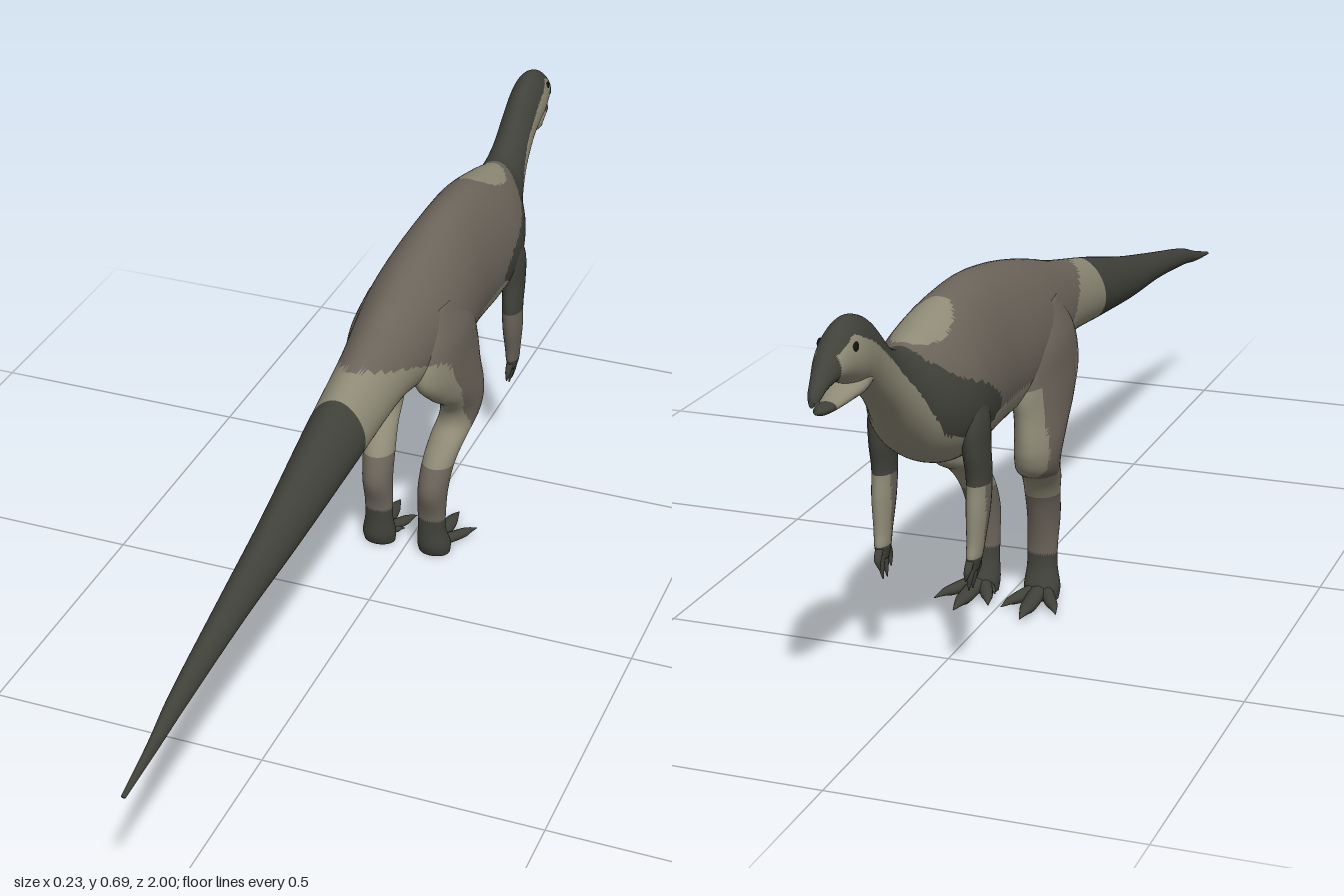
import * as THREE from 'three';

const mat = (name, color) => {
  const m = new THREE.MeshStandardMaterial({ color });
  m.name = name;
  return m;
};

// Piecewise linear lookup through [z, value] pairs with falling z
function along(pairs, z) {
  if (z >= pairs[0][0]) return pairs[0][1];
  for (let i = 1; i < pairs.length; i++) {
    const [z0, a] = pairs[i - 1], [z1, b] = pairs[i];
    if (z >= z1) return a + (b - a) * (z0 - z) / (z0 - z1);
  }
  return pairs[pairs.length - 1][1];
}

// Smooth the list of cross-sections with a Catmull-Rom rule
function refine(rings, steps) {
  const out = [], n = rings.length;
  const at = i => rings[Math.min(n - 1, Math.max(0, i))];
  for (let i = 0; i < n - 1; i++) {
    for (let s = 0; s < steps; s++) {
      const t = s / steps;
      out.push(at(i).map((b, k) => {
        const a = at(i - 1)[k], c = at(i + 1)[k], d = at(i + 2)[k];
        return 0.5 * (2 * b + (c - a) * t + (2 * a - 5 * b + 4 * c - d) * t * t
          + (3 * b - a - 3 * c + d) * t * t * t);
      }));
    }
  }
  out.push(rings[n - 1]);
  return out;
}

// Skin rings [cx, cy, cz, rx, r2], listed with falling z (axis 'z') or falling y (axis 'y').
// paint(x, y, z) picks the material index of each face.
function loft(name, rings, axis, materials, paint, { sides = 24, steps = 5, taper = 0 } = {}) {
  const rs = refine(rings, steps), pos = [], faces = materials.map(() => []);
  for (const [cx, cy, cz, rx, r2] of rs) {
    for (let j = 0; j < sides; j++) {
      const a = j / sides * Math.PI * 2, c = Math.cos(a), s = Math.sin(a);
      const x = cx + rx * c * (1 - taper * s);
      if (axis === 'z') pos.push(x, cy + r2 * s, cz);
      else pos.push(x, cy, cz - r2 * s);
    }
  }
  const first = pos.length / 3, last = rs.length - 1;
  pos.push(...rs[0].slice(0, 3), ...rs[last].slice(0, 3));
  const tri = (...v) => {
    const mid = k => (pos[v[0] * 3 + k] + pos[v[1] * 3 + k] + pos[v[2] * 3 + k]) / 3;
    faces[paint(mid(0), mid(1), mid(2))].push(...v);
  };
  for (let j = 0; j < sides; j++) {
    const k = (j + 1) % sides;
    tri(first, j, k);
    for (let i = 0; i < last; i++) {
      const p = i * sides, q = p + sides;
      tri(p + j, q + j, p + k);
      tri(q + j, q + k, p + k);
    }
    tri(first + 1, last * sides + k, last * sides + j);
  }
  const g = new THREE.BufferGeometry();
  g.setAttribute('position', new THREE.Float32BufferAttribute(pos, 3));
  g.setIndex(faces.flat());
  let start = 0;
  faces.forEach((f, i) => { g.addGroup(start, f.length, i); start += f.length; });
  g.computeVertexNormals();
  const mesh = new THREE.Mesh(g, materials);
  mesh.name = name;
  return mesh;
}

// Profile row [z, top, bottom, halfWidth] to a ring
const slice = ([z, top, bottom, w]) => [0, (top + bottom) / 2, z, w, (top - bottom) / 2];

const DARK = 0, BROWN = 1, LIGHT = 2;

// Colour boundaries of the shoulder and neck patch
const patchTop = [[-0.47, 0.44], [-0.49, 0.465], [-0.53, 0.495], [-0.62, 0.53], [-0.67, 0.57], [-0.69, 0.63], [-0.7, 0.9]];
const patchBottom = [[-0.47, 0.45], [-0.55, 0.405], [-0.65, 0.445], [-0.72, 0.54], [-0.78, 0.6], [-0.84, 0.645], [-0.9, 0.674], [-0.94, 0.655]];
const rumpEdge = y => y > 0.45 ? 0.07 - (0.53 - y) * 2.6 : -0.138 - (0.45 - y) * 0.6;

function paintBody(x, y, z) {
  if (z > 0.16) return DARK;
  if (z > rumpEdge(y)) return LIGHT;
  if (z < -0.945) return DARK;
  if (z < -0.47 && y < along(patchTop, z) && y > along(patchBottom, z)) return DARK;
  if (z < -0.58 && y <= along(patchBottom, z)) return LIGHT;
  if (((z + 0.59) / 0.075) ** 2 + (x / 0.042) ** 2 < 1 && y > 0.55) return LIGHT;
  if (z < -0.3 && z > -0.53 && y < 0.435) return LIGHT;
  return BROWN;
}

function paintLeg(x, y, z) {
  if (y < 0.085) return DARK;
  if (y < 0.2) return BROWN;
  if (y < 0.255 || z > rumpEdge(y) || Math.abs(x) < 0.06) return LIGHT;
  return y < 0.42 && z < -0.31 ? LIGHT : BROWN;
}

export function createModel() {
  const model = new THREE.Group();
  const skin = [mat('darkOlive', 0x40423a), mat('greyBrown', 0x6c655b), mat('paleKhaki', 0x8f8b77)];
  const eyeMat = mat('eyeBlack', 0x16150f);

  // Tail, trunk, neck and upper head in one skin
  const profile = [
    [1, 0.313, 0.307, 0.004], [0.9, 0.34, 0.318, 0.009], [0.8, 0.37, 0.335, 0.016],
    [0.6, 0.412, 0.358, 0.026], [0.4, 0.455, 0.37, 0.037], [0.2, 0.505, 0.39, 0.05],
    [0, 0.55, 0.41, 0.062], [-0.1, 0.578, 0.4, 0.075], [-0.2, 0.603, 0.385, 0.088],
    [-0.3, 0.622, 0.37, 0.09], [-0.4, 0.633, 0.362, 0.086], [-0.5, 0.627, 0.36, 0.09],
    [-0.57, 0.613, 0.368, 0.091], [-0.63, 0.6, 0.395, 0.078], [-0.69, 0.59, 0.445, 0.052],
    [-0.75, 0.615, 0.505, 0.038], [-0.81, 0.668, 0.553, 0.034], [-0.85, 0.688, 0.578, 0.035],
    [-0.88, 0.693, 0.59, 0.035], [-0.91, 0.685, 0.603, 0.031], [-0.94, 0.667, 0.612, 0.024],
    [-0.97, 0.641, 0.607, 0.015], [-0.99, 0.62, 0.596, 0.01], [-1, 0.607, 0.592, 0.004],
  ];
  model.add(loft('body', profile.map(slice), 'z', skin, paintBody, { sides: 72, steps: 9, taper: 0.16 }));

  // Open lower jaw
  const jaw = [
    [-0.84, 0.62, 0.575, 0.028], [-0.87, 0.608, 0.572, 0.03], [-0.9, 0.597, 0.571, 0.024],
    [-0.94, 0.587, 0.57, 0.016], [-0.97, 0.586, 0.572, 0.011], [-0.985, 0.584, 0.577, 0.004],
  ];
  model.add(loft('lowerJaw', jaw.map(slice), 'z', skin, (x, y, z) => z < -0.945 ? DARK : LIGHT));

  for (const side of [1, -1]) {
    const label = side > 0 ? 'right' : 'left'; // facing -z, +x is the right-hand side
    const mirror = r => [r[0] * side, ...r.slice(1)];
    const dark = () => DARK;

    // Eye
    const eye = new THREE.Mesh(new THREE.SphereGeometry(0.008, 16, 12), eyeMat);
    eye.name = label + 'Eye';
    eye.position.set(0.028 * side, 0.657, -0.905);
    eye.scale.x = 0.4;
    model.add(eye);

    // Hind leg from hip to sole
    const leg = [
      [0.055, 0.54, -0.2, 0.02, 0.05], [0.059, 0.48, -0.21, 0.041, 0.115],
      [0.066, 0.42, -0.215, 0.041, 0.13], [0.073, 0.37, -0.237, 0.039, 0.104],
      [0.077, 0.33, -0.265, 0.038, 0.077], [0.077, 0.3, -0.277, 0.037, 0.062],
      [0.074, 0.27, -0.27, 0.035, 0.052], [0.067, 0.24, -0.233, 0.033, 0.037],
      [0.059, 0.2, -0.205, 0.03, 0.035], [0.055, 0.15, -0.187, 0.028, 0.034],
      [0.053, 0.1, -0.188, 0.027, 0.022], [0.053, 0.06, -0.19, 0.027, 0.021],
      [0.055, 0.025, -0.197, 0.032, 0.028], [0.055, 0.004, -0.2, 0.03, 0.024],
    ];
    model.add(loft(label + 'HindLeg', leg.map(mirror), 'y', skin, paintLeg, { sides: 40, steps: 7 }));

    // Splayed toes ending in claws: [tip x, tip z, thickness]
    [[0.06, -0.325, 0.015], [0.11, -0.285, 0.013], [0.012, -0.285, 0.013], [0.018, -0.235, 0.009]].forEach(([tx, tz, r], i) => {
      const toe = [[0, 0.022, r], [0.35, 0.019, r], [0.65, 0.016, r * 0.9], [0.8, 0.016, r * 0.6], [1, 0.012, 0.001]]
        .map(([t, y, w]) => [0.055 + (tx - 0.055) * t, y, -0.19 + (tz + 0.19) * t, w, w * 0.8]);
      model.add(loft(`${label}Toe${i + 1}`, toe.map(mirror), 'z', skin, dark, { sides: 14, steps: 3 }));
    });

    // Fore limb
    const arm = [
      [0.076, 0.5, -0.56, 0.008, 0.02], [0.078, 0.45, -0.567, 0.019, 0.04],
      [0.079, 0.4, -0.567, 0.02, 0.037], [0.08, 0.35, -0.56, 0.019, 0.032],
      [0.08, 0.3, -0.565, 0.018, 0.03], [0.079, 0.25, -0.573, 0.014, 0.023],
      [0.078, 0.225, -0.578, 0.012, 0.022], [0.077, 0.203, -0.58, 0.008, 0.016],
    ];
    const paintArm = (x, y, z) => y > 0.345 || y < 0.225 ? DARK : z > -0.575 ? BROWN : LIGHT;
    model.add(loft(label + 'ForeLimb', arm.map(mirror), 'y', skin, paintArm, { steps: 7 }));

    // Fingers
    [[-0.558, 0.18], [-0.575, 0.168], [-0.592, 0.17], [-0.605, 0.19]].forEach(([z, y], i) => {
      const zs = -0.58 + (z + 0.58) * 0.6;
      const finger = [[0.077, 0.222, zs, 0.007, 0.007], [0.076, (0.222 + y) / 2, z, 0.006, 0.006], [0.073, y, z, 0.001, 0.001]];
      model.add(loft(`${label}Finger${i + 1}`, finger.map(mirror), 'y', skin, dark, { sides: 10, steps: 4 }));
    });
  }
  return model;
}
